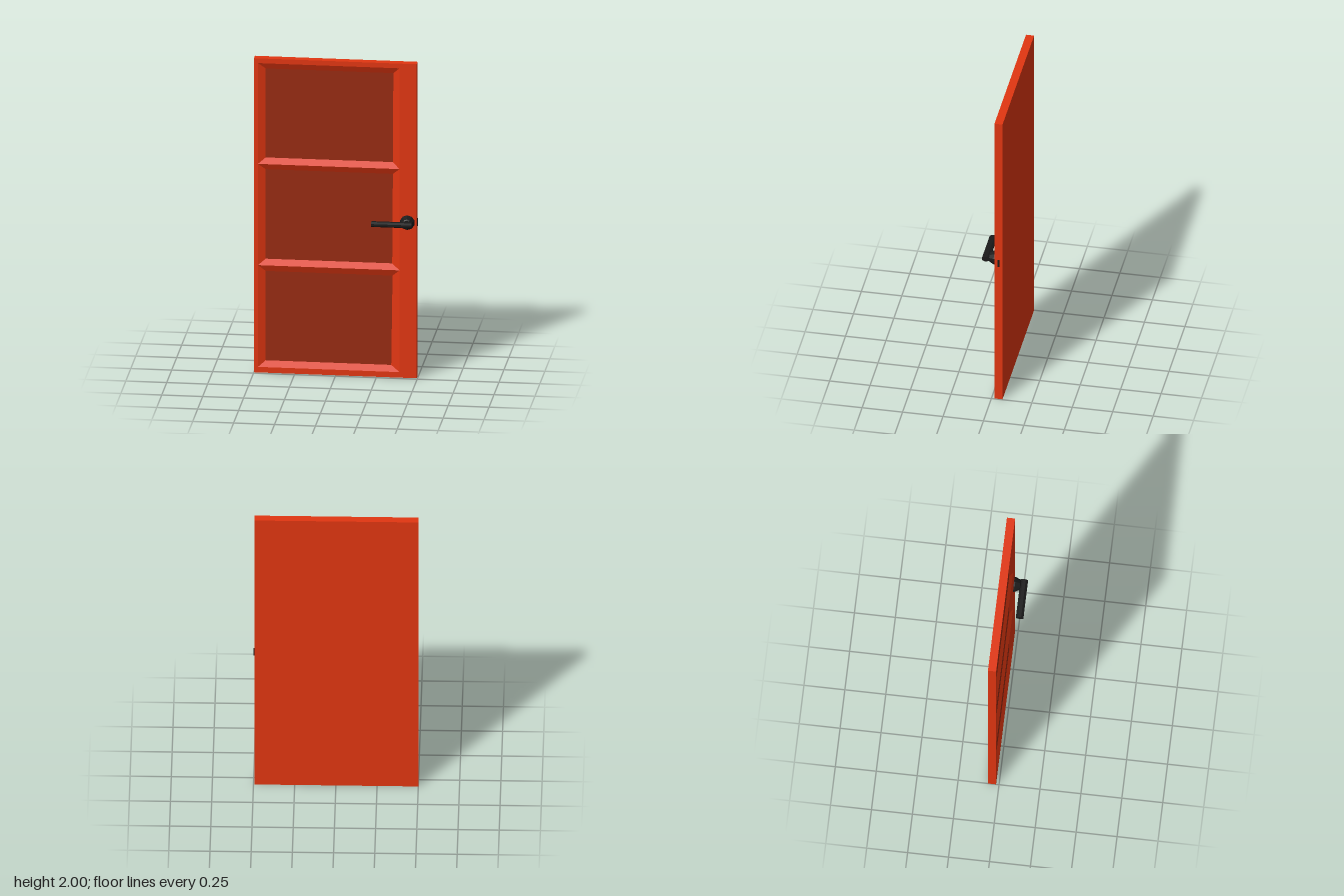
import * as THREE from 'three';

const red = new THREE.MeshStandardMaterial({ color: 0xe23611, flatShading: true });
const darkRed = new THREE.MeshStandardMaterial({ color: 0x982a11, flatShading: true });
const black = new THREE.MeshStandardMaterial({ color: 0x1a1a1a, flatShading: true });

const FRONT = -0.018, BACK = -0.068, RECESS = -0.037;
const LEFT = -0.475, RIGHT = 0.39;
const HANDLE_X = 0.438, HANDLE_Y = 0.99;

function add(parent, name, geometry, material, x = 0, y = 0, z = 0) {
  const mesh = new THREE.Mesh(geometry, material);
  mesh.name = name;
  mesh.position.set(x, y, z);
  parent.add(mesh);
  return mesh;
}

// Corners of a quad are listed counter-clockwise as seen from its front
function quads(list) {
  const pos = list.flatMap(([a, b, c, d]) => [a, b, c, a, c, d].flat());
  const geometry = new THREE.BufferGeometry();
  geometry.setAttribute('position', new THREE.Float32BufferAttribute(pos, 3));
  geometry.computeVertexNormals();
  return geometry;
}

// A recessed pane: four sloping sides around a flat, darker field
function addPane(parent, { bottom, top, innerBottom, innerTop, rightBottom, rightTop }) {
  const outer = [[LEFT, bottom, FRONT], [RIGHT, bottom, FRONT], [RIGHT, top, FRONT], [LEFT, top, FRONT]];
  const inner = [
    [-0.43, innerBottom, RECESS], [rightBottom, innerBottom, RECESS],
    [rightTop, innerTop, RECESS], [-0.43, innerTop, RECESS],
  ];
  const slopes = outer.map((corner, i) => {
    const j = (i + 1) % 4;
    return [corner, outer[j], inner[j], inner[i]];
  });
  const pane = new THREE.Group();
  pane.name = 'pane';
  add(pane, 'paneBevel', quads(slopes), red);
  add(pane, 'paneField', quads([inner]), darkRed);
  parent.add(pane);
}

export function createModel() {
  const model = new THREE.Group();
  model.name = 'door';

  // Solid back of the door
  const slabDepth = 0.03;
  add(model, 'doorSlab', new THREE.BoxGeometry(0.995, 2, slabDepth), red, -0.0025, 1, BACK + slabDepth / 2);

  // Front frame with one tall opening
  const frame = new THREE.Shape();
  frame.moveTo(-0.5, 0).lineTo(0.495, 0).lineTo(0.495, 2).lineTo(-0.5, 2).closePath();
  const opening = new THREE.Path();
  opening.moveTo(LEFT, 0.035).lineTo(LEFT, 1.97).lineTo(RIGHT, 1.97).lineTo(RIGHT, 0.035).closePath();
  frame.holes.push(opening);
  const frameDepth = FRONT - BACK - slabDepth;
  add(model, 'doorFrame', new THREE.ExtrudeGeometry(frame, { depth: frameDepth, bevelEnabled: false }),
    red, 0, 0, FRONT - frameDepth);

  // Three panes; neighbouring slopes meet as ridged crossbars
  [
    { bottom: 0.035, top: 0.683, innerBottom: 0.073, innerTop: 0.642, rightBottom: 0.337, rightTop: 0.345 },
    { bottom: 0.683, top: 1.328, innerBottom: 0.72, innerTop: 1.29, rightBottom: 0.343, rightTop: 0.347 },
    { bottom: 1.328, top: 1.97, innerBottom: 1.365, innerTop: 1.932, rightBottom: 0.347, rightTop: 0.35 },
  ].forEach((pane) => addPane(model, pane));

  // Handle: tapered rose and a lever pointing across the door
  const handle = new THREE.Group();
  handle.name = 'handle';
  const profile = [[0, 0], [0.046, 0], [0.045, 0.008], [0.031, 0.038], [0.024, 0.042], [0, 0.042]];
  const rose = new THREE.LatheGeometry(profile.map(([r, h]) => new THREE.Vector2(r, h)), 10);
  add(handle, 'handleRose', rose, black, HANDLE_X, HANDLE_Y, FRONT).rotation.x = Math.PI / 2;

  const lever = new THREE.CylinderGeometry(1, 1, 0.247, 8);
  lever.rotateY(Math.PI / 8);
  lever.rotateZ(Math.PI / 2);
  const leverScale = 1 / Math.cos(Math.PI / 8);
  lever.scale(1, 0.0155 * leverScale, 0.023 * leverScale);
  add(handle, 'handleLever', lever, black, 0.3485, HANDLE_Y + 0.001, 0.041);
  model.add(handle);

  // Latch bolt on the door edge
  add(model, 'latch', new THREE.BoxGeometry(0.015, 0.047, 0.011), black, 0.4925, 0.987, -0.043);

  return model;
}
